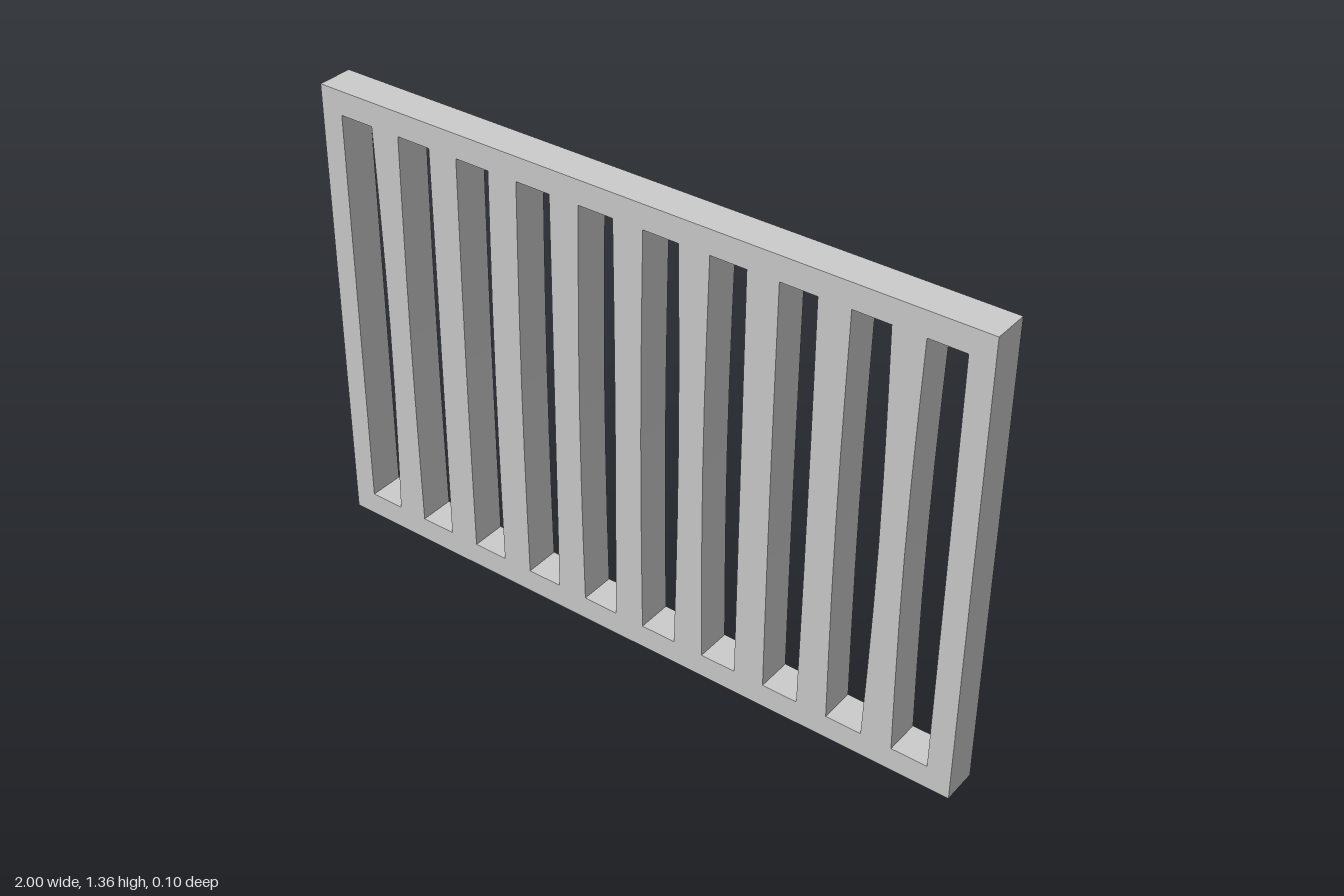
import * as THREE from 'three';

const WIDTH = 2, HEIGHT = 1.36, DEPTH = 0.105, RAIL = 0.07;
const SLOT = 0.105, PITCH = 0.1955, SLOTS = 10;

// Sideways drift of each bar's left and right edge at mid-height (hand-cut look)
const DRIFT = [
  [0.011, -0.005], [0, -0.003], [-0.006, -0.006], [0, -0.008], [0.003, -0.006],
  [0.007, -0.008], [0, -0.002], [0.002, -0.006], [0.01, -0.009],
];

const material = new THREE.MeshStandardMaterial({ color: 0xcccccc, flatShading: true });

function slab(name, shape) {
  const geometry = new THREE.ExtrudeGeometry(shape, { depth: DEPTH, bevelEnabled: false });
  geometry.translate(0, 0, -DEPTH / 2);
  const mesh = new THREE.Mesh(geometry, material);
  mesh.name = name;
  return mesh;
}

function rectangle(Type, x0, y0, x1, y1) {
  return new Type([[x0, y0], [x1, y0], [x1, y1], [x0, y1]].map(([x, y]) => new THREE.Vector2(x, y)));
}

// Upright bar whose edges wander slightly between the two rails
function barShape(x, [left, right]) {
  const half = (PITCH - SLOT) / 2;
  const steps = 6;
  const edge = (base, drift) => Array.from({ length: steps + 1 }, (_, i) => {
    const t = i / steps;
    return new THREE.Vector2(base + drift * Math.sin(Math.PI * t), RAIL + t * (HEIGHT - 2 * RAIL));
  });
  return new THREE.Shape([...edge(x + half, right), ...edge(x - half, left).reverse()]);
}

export function createModel() {
  const model = new THREE.Group();
  model.name = 'slattedPanel';

  // Outer frame with one large opening
  const outline = rectangle(THREE.Shape, -WIDTH / 2, 0, WIDTH / 2, HEIGHT);
  const side = (PITCH * (SLOTS - 1) + SLOT) / 2;
  outline.holes.push(rectangle(THREE.Path, -side, RAIL, side, HEIGHT - RAIL));
  model.add(slab('frame', outline));

  // Evenly spaced upright bars
  const bars = new THREE.Group();
  bars.name = 'bars';
  DRIFT.forEach((drift, i) => {
    const x = (i - (DRIFT.length - 1) / 2) * PITCH;
    bars.add(slab('bar' + (i + 1), barShape(x, drift)));
  });
  model.add(bars);
  return model;
}
